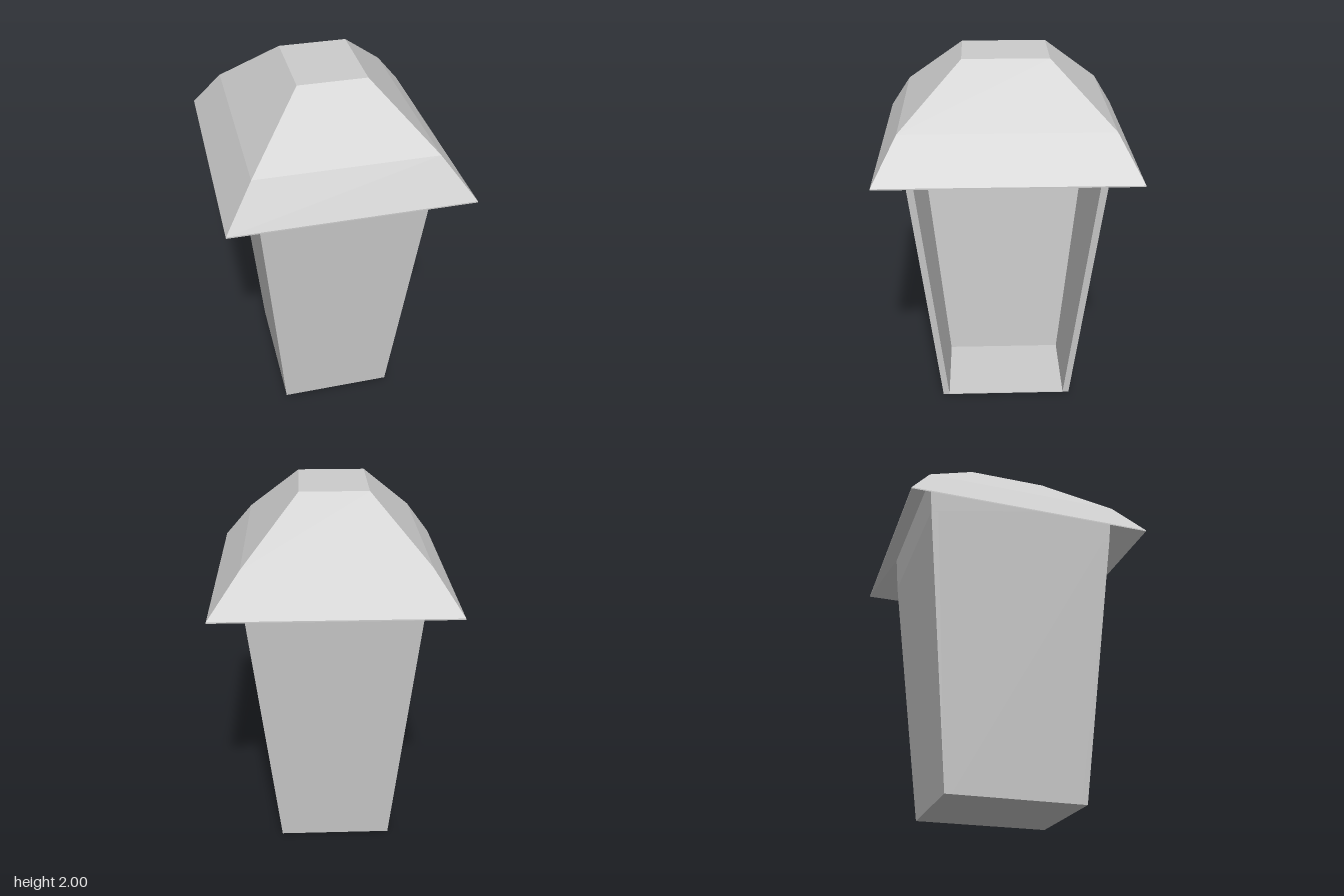
import * as THREE from 'three';

// Rectangular cross-section at height y, corners counter-clockwise from above
const ring = (y, x0, x1, z0, z1) => [[x0, y, z1], [x1, y, z1], [x1, y, z0], [x0, y, z0]];

// Flat-faced skin over a stack of rings, with optional end caps
function loft(rings, capBottom = true, capTop = true) {
  const pos = [];
  const quad = (a, b, c, d) => pos.push(...a, ...b, ...c, ...a, ...c, ...d);
  for (let i = 0; i < rings.length - 1; i++) {
    const lo = rings[i], hi = rings[i + 1];
    for (let k = 0; k < 4; k++) {
      const n = (k + 1) % 4;
      quad(lo[k], lo[n], hi[n], hi[k]);
    }
  }
  if (capBottom) quad(...[...rings[0]].reverse());
  if (capTop) quad(...rings[rings.length - 1]);
  const geo = new THREE.BufferGeometry();
  geo.setAttribute('position', new THREE.Float32BufferAttribute(pos, 3));
  geo.computeVertexNormals();
  return geo;
}

export function createModel() {
  const group = new THREE.Group();
  const grey = new THREE.MeshStandardMaterial({ color: 0xcccccc });
  grey.name = 'plainGrey';
  const add = (name, geo) => {
    const mesh = new THREE.Mesh(geo, grey);
    mesh.name = name;
    group.add(mesh);
  };
  const top = 1.49;

  // Tapered side panels; the +x side stays open
  add('frontPanel', loft([ring(0, -0.315, 0.30, 0.337, 0.372), ring(top, -0.45, 0.442, 0.482, 0.52)]));
  add('backPanel', loft([ring(0, -0.315, 0.30, -0.372, -0.337), ring(top, -0.45, 0.455, -0.52, -0.482)]));
  add('closedSideWall', loft([ring(0, -0.315, -0.17, -0.337, 0.337), ring(top, -0.45, -0.22, -0.482, 0.482)]));

  // Thin floor plate
  add('floor', loft([ring(0, -0.17, 0.30, -0.337, 0.337), ring(0.004, -0.17, 0.30, -0.337, 0.337)]));

  // Block above the opening, its underside forming the ceiling
  add('headBlock', loft([ring(top, -0.45, 0.455, -0.52, 0.52), ring(1.69, -0.468, 0.458, -0.535, 0.535)]));

  // Hipped roof: hollow eaves, thin rim, two slopes and a flat top
  add('roof', loft([
    ring(1.69, -0.465, 0.455, -0.535, 0.535),
    ring(top, -0.62, 0.62, -0.665, 0.665),
    ring(1.497, -0.62, 0.62, -0.665, 0.665),
    ring(1.71, -0.47, 0.457, -0.54, 0.54),
    ring(2, -0.183, 0.172, -0.223, 0.223),
  ], false, true));

  return group;
}
